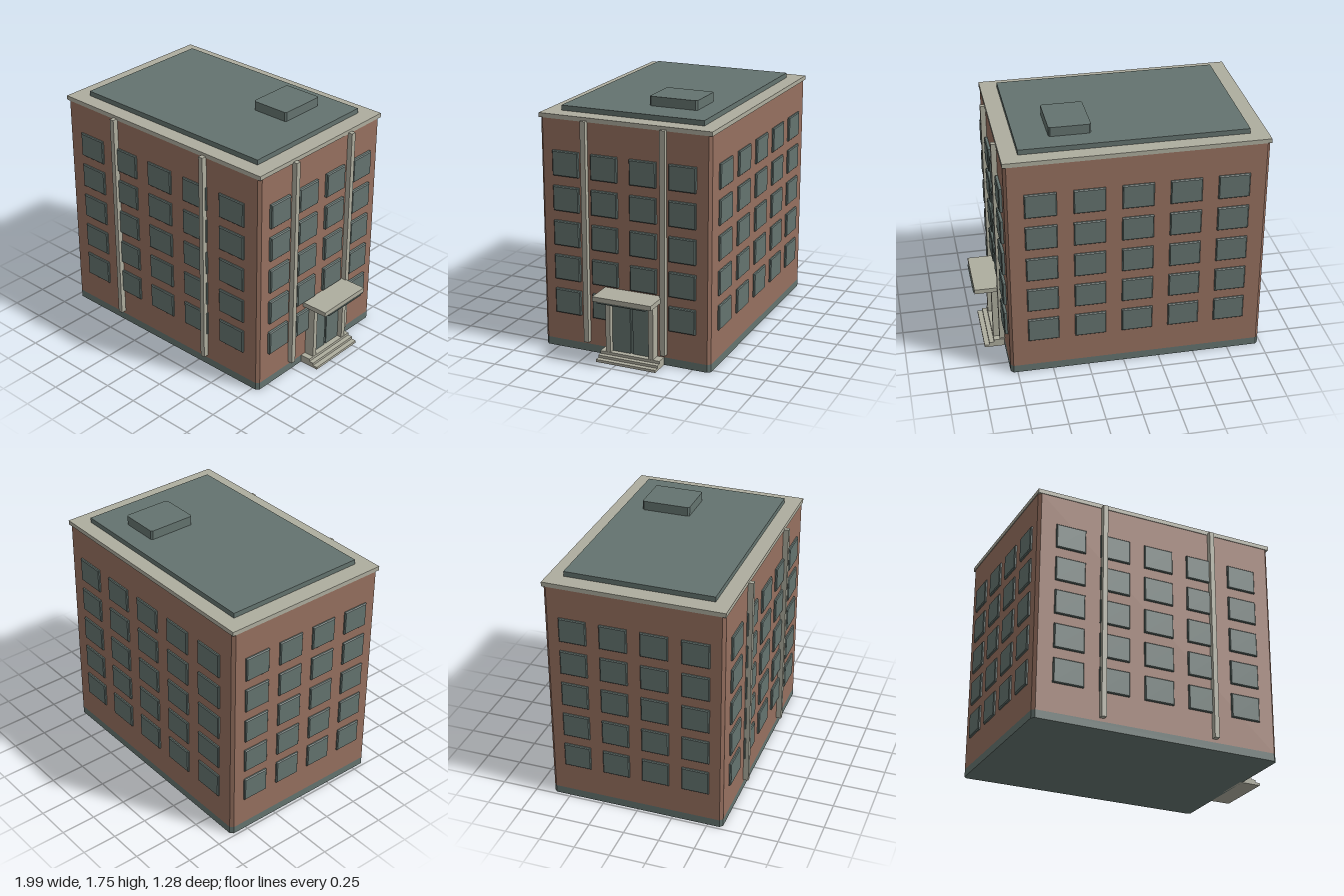
import * as THREE from 'three';

const brick = new THREE.MeshStandardMaterial({ name: 'brick', color: 0x96705f });
const stone = new THREE.MeshStandardMaterial({ name: 'stone', color: 0xaead9e });
const slate = new THREE.MeshStandardMaterial({ name: 'slate', color: 0x64736f });

// Box given by its minimum and maximum on each axis
function block(parent, name, mat, [x0, x1], [y0, y1], [z0, z1]) {
  const mesh = new THREE.Mesh(new THREE.BoxGeometry(x1 - x0, y1 - y0, z1 - z0), mat);
  mesh.position.set((x0 + x1) / 2, (y0 + y1) / 2, (z0 + z1) / 2);
  mesh.name = name;
  parent.add(mesh);
  return mesh;
}

// Upright prism whose four vertical edges are chamfered by c
function prism(parent, name, mat, [x0, x1], [y0, y1], [z0, z1], c) {
  const s = new THREE.Shape([
    [x0 + c, -z1], [x1 - c, -z1], [x1, -z1 + c], [x1, -z0 - c],
    [x1 - c, -z0], [x0 + c, -z0], [x0, -z0 - c], [x0, -z1 + c],
  ].map(([x, y]) => new THREE.Vector2(x, y)));
  const geo = new THREE.ExtrudeGeometry(s, { depth: y1 - y0, bevelEnabled: false });
  geo.rotateX(-Math.PI / 2).translate(0, y0, 0);
  const mesh = new THREE.Mesh(geo, mat);
  mesh.name = name;
  parent.add(mesh);
}

// Window pane facing +z with a bevelled front rim
function paneGeometry(w, h, depth) {
  const b = 0.006;
  const x = w / 2 - b, y = h / 2 - b;
  const s = new THREE.Shape([
    new THREE.Vector2(-x, -y), new THREE.Vector2(x, -y),
    new THREE.Vector2(x, y), new THREE.Vector2(-x, y),
  ]);
  return new THREE.ExtrudeGeometry(s, {
    depth, bevelThickness: b, bevelSize: b, bevelSegments: 1,
  }).translate(0, 0, -b);
}

export function createModel() {
  const model = new THREE.Group();
  model.name = 'apartmentBlock';

  // Walls and plinth
  const X = [-0.98, 0.797], Z = [-0.625, 0.605];
  prism(model, 'plinth', slate, X, [0, 0.055], Z, 0.02);
  prism(model, 'walls', brick, X, [0.055, 1.62], Z, 0.02);

  // Roof
  block(model, 'cornice', stone, [-0.985, 0.802], [1.62, 1.65], [-0.632, 0.61]);
  block(model, 'roofDeck', slate, [-0.865, 0.685], [1.65, 1.685], [-0.527, 0.503]);
  prism(model, 'roofHatch', slate, [0.175, 0.46], [1.685, 1.75], [-0.382, -0.037], 0.012);

  // Windows: five floors on all four sides
  const windows = new THREE.Group();
  windows.name = 'windows';
  model.add(windows);
  const longPane = paneGeometry(0.215, 0.173, 0.02);
  const shortPane = paneGeometry(0.19, 0.173, 0.02);
  const addWindow = (name, geo, x, y, z, turn) => {
    const mesh = new THREE.Mesh(geo, slate);
    mesh.name = name;
    mesh.position.set(x, y, z);
    mesh.rotation.y = turn;
    windows.add(mesh);
  };
  for (let floor = 0; floor < 5; floor++) {
    const y = 0.345 + 0.244 * floor;
    for (let i = 0; i < 5; i++) {
      const x = -0.743 + 0.326 * i;
      addWindow('frontWindow', longPane, x, y, Z[1] - 0.005, 0);
      addWindow('backWindow', longPane, x, y, Z[0] + 0.005, Math.PI);
    }
    for (let i = 0; i < 4; i++) {
      const z = 0.414 - 0.281 * i;
      addWindow('leftWindow', shortPane, X[1] + 0.003, y, z, Math.PI / 2);
      addWindow('rightWindow', shortPane, X[0] + 0.005, y, z, -Math.PI / 2);
    }
  }

  // Pilasters on the front and on the entrance side
  for (const x of [-0.503, 0.32])
    block(model, 'frontPilaster', stone, [x - 0.017, x + 0.017], [0.078, 1.63], [0.59, 0.643]);
  for (const z of [0.273, -0.296])
    block(model, 'sidePilaster', stone, [0.78, 0.833], [0.078, 1.63], [z - 0.018, z + 0.018]);

  // Entrance: steps, columns, doors and canopy
  const entrance = new THREE.Group();
  entrance.name = 'entrance';
  model.add(entrance);
  [[0, 0.018, 0.94], [0.018, 0.036, 0.905], [0.036, 0.055, 0.872]].forEach(([y0, y1, x]) =>
    block(entrance, 'step', stone, [0.78, x], [y0, y1], [-0.293, 0.146]));
  for (const z of [0.088, -0.228])
    block(entrance, 'column', stone, [0.78, 0.87], [0.055, 0.452], [z - 0.017, z + 0.017]);
  block(entrance, 'doorFrame', slate, [0.78, 0.826], [0.055, 0.452], [-0.211, 0.071]);
  for (const [z0, z1] of [[-0.211, -0.08], [-0.062, 0.071]])
    block(entrance, 'doorLeaf', slate, [0.826, 0.834], [0.055, 0.452], [z0, z1]);
  block(entrance, 'canopy', stone, [0.78, 0.99], [0.457, 0.49], [-0.286, 0.14]);
  block(entrance, 'canopySoffit', slate, [0.78, 0.997], [0.45, 0.457], [-0.25, 0.106]);

  return model;
}
